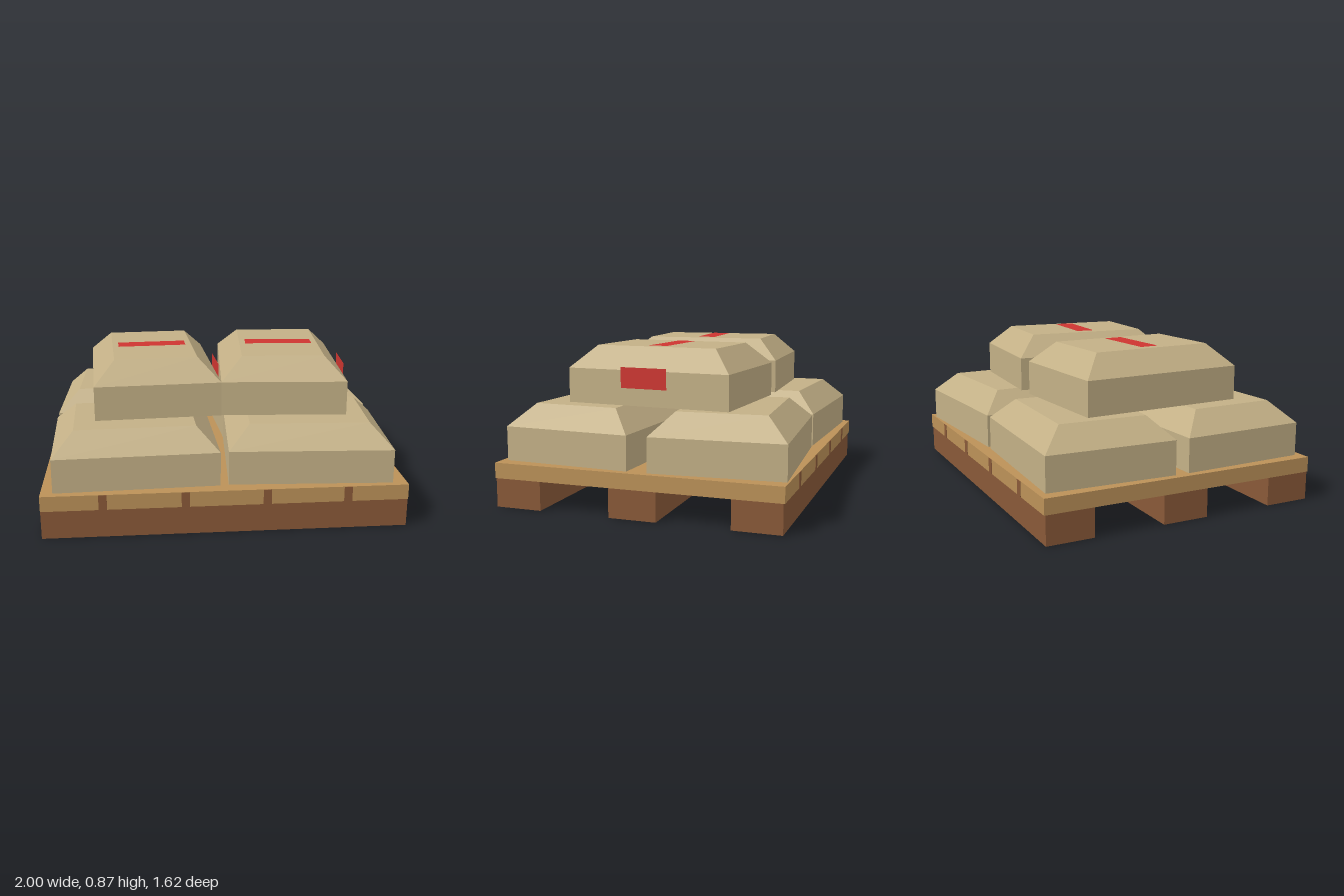
import * as THREE from 'three';

const sackCloth = new THREE.MeshStandardMaterial({ color: 0xc3b086 });
sackCloth.name = 'sackCloth';
const deckWood = new THREE.MeshStandardMaterial({ color: 0xbb9158 });
deckWood.name = 'deckWood';
const runnerWood = new THREE.MeshStandardMaterial({ color: 0x895938, side: THREE.DoubleSide });
runnerWood.name = 'runnerWood';
const labelRed = new THREE.MeshStandardMaterial({ color: 0xcd3530, side: THREE.DoubleSide });
labelRed.name = 'labelRed';

function add(parent, name, geometry, material, x, y, z) {
  const mesh = new THREE.Mesh(geometry, material);
  mesh.name = name;
  mesh.position.set(x, y, z);
  parent.add(mesh);
  return mesh;
}

// Straight walls up to the shoulder, then a bevel in to a smaller flat top; base at y = 0
function sackGeometry(w, h, d, shoulder, inset) {
  const geometry = new THREE.BoxGeometry(w, h, d, 1, 2, 1).toNonIndexed();
  const p = geometry.attributes.position;
  for (let i = 0; i < p.count; i++) {
    const y = p.getY(i);
    if (y > 0.01) {
      p.setX(i, p.getX(i) - Math.sign(p.getX(i)) * inset);
      p.setZ(i, p.getZ(i) - Math.sign(p.getZ(i)) * inset);
    }
    p.setY(i, Math.abs(y) < 0.01 ? shoulder : y + h / 2);
  }
  geometry.computeVertexNormals();
  return geometry;
}

// Four walls of a box, open above and below
function openBox(w, h, d) {
  const geometry = new THREE.BoxGeometry(w, h, d);
  const index = Array.from(geometry.index.array);
  geometry.setIndex(index.filter((_, i) => i < 12 || i >= 24));
  return geometry;
}

export function createModel() {
  const model = new THREE.Group();
  model.name = 'sacksOnPallet';

  // Pallet: three hollow runners under one deck
  const pallet = new THREE.Group();
  pallet.name = 'pallet';
  model.add(pallet);
  for (const z of [-0.668, 0, 0.668]) {
    add(pallet, 'runner', openBox(2, 0.16, 0.266), runnerWood, 0, 0.08, z);
  }
  add(pallet, 'deck', new THREE.BoxGeometry(2, 0.086, 1.616), deckWood, 0, 0.203, 0);

  // Board gaps shown on the front and back edges of the deck
  const gap = new THREE.BoxGeometry(0.045, 0.084, 0.006);
  for (const x of [-0.668, -0.224, 0.22, 0.664]) {
    for (const z of [-0.808, 0.808]) add(pallet, 'boardGap', gap, runnerWood, x, 0.203, z);
  }

  // Lower layer: x, z, turn
  const lower = sackGeometry(0.905, 0.31, 0.73, 0.19, 0.12);
  const lowerSacks = [
    [-0.495, -0.39, -0.037], [-0.495, 0.385, 0.037],
    [0.4875, -0.405, 0.067], [0.4875, 0.385, -0.055],
  ];
  for (const [x, z, turn] of lowerSacks) {
    add(model, 'lowerSack', lower, sackCloth, x, 0.246, z).rotation.y = turn;
  }

  // Upper layer, each sack with a label on top and one on its left side
  const upper = sackGeometry(0.71, 0.315, 0.95, 0.193, 0.12);
  const topLabel = new THREE.PlaneGeometry(0.4, 0.11).rotateX(-Math.PI / 2);
  const sideLabel = new THREE.PlaneGeometry(0.27, 0.113).rotateY(Math.PI / 2);
  for (const [x, turn] of [[-0.38, 0.056], [0.387, -0.068]]) {
    const group = new THREE.Group();
    group.name = 'upperSack';
    group.position.set(x, 0.556, -0.003);
    group.rotation.y = turn;
    add(group, 'sack', upper, sackCloth, 0, 0, 0);
    add(group, 'topLabel', topLabel, labelRed, 0, 0.318, 0);
    add(group, 'sideLabel', sideLabel, labelRed, 0.387, 0.156, 0);
    model.add(group);
  }

  return model;
}
